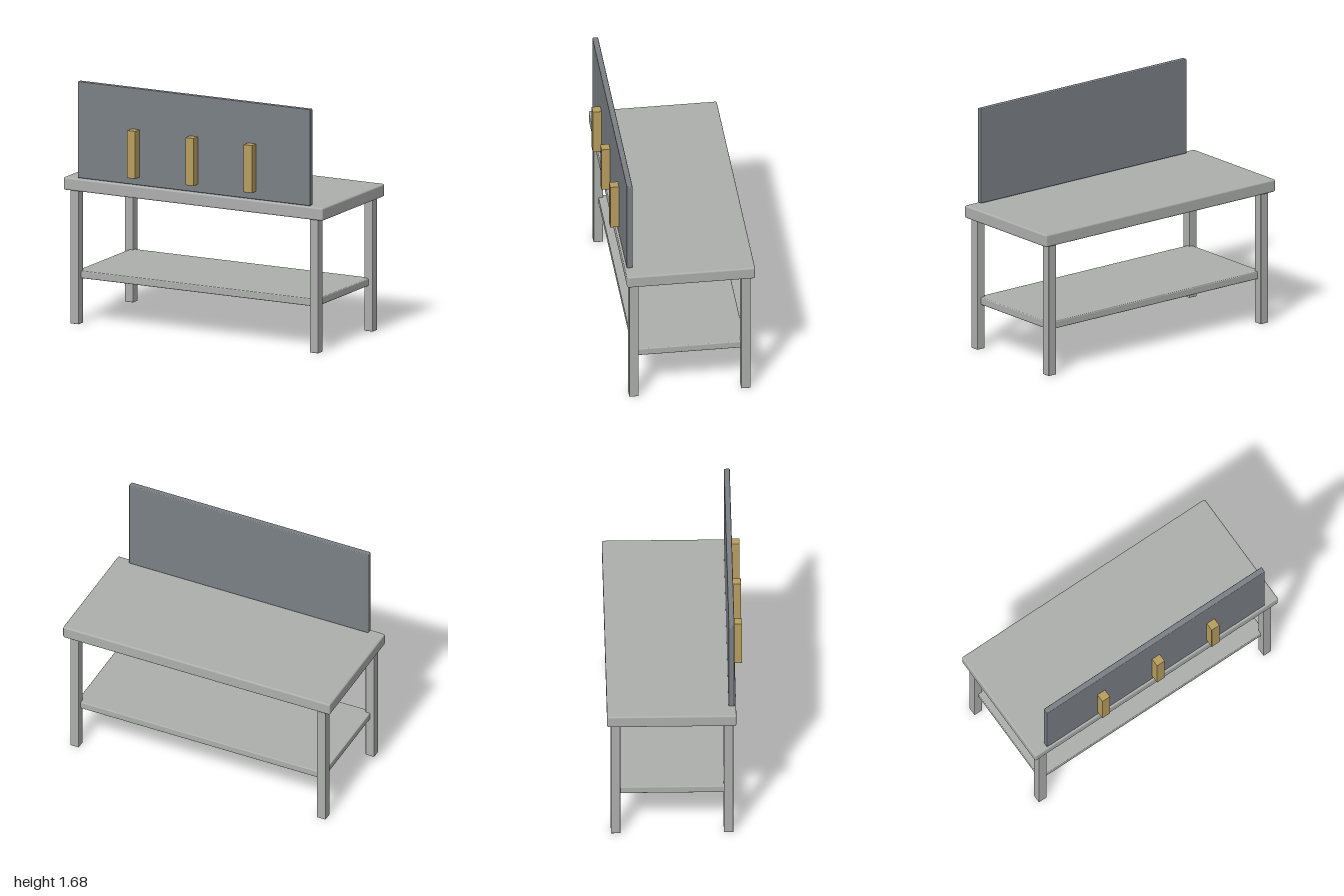
import * as THREE from 'three';
import { RoundedBoxGeometry } from 'three/addons/geometries/RoundedBoxGeometry.js';

export function createModel() {
  const group = new THREE.Group();
  group.name = 'workbench';

  const material = (name, color) => {
    const m = new THREE.MeshStandardMaterial({ color });
    m.name = name;
    return m;
  };
  const lightGrey = material('lightGrey', 0xadafad);
  const slateGrey = material('slateGrey', 0x7b8085);
  const tan = material('tan', 0xb99f60);

  // Softly bevelled box given by its extents along each axis
  const slab = (name, mat, [x0, x1], [y0, y1], [z0, z1], bevel) => {
    const mesh = new THREE.Mesh(
      new RoundedBoxGeometry(x1 - x0, y1 - y0, z1 - z0, 2, bevel), mat);
    mesh.position.set((x0 + x1) / 2, (y0 + y1) / 2, (z0 + z1) / 2);
    mesh.name = name;
    group.add(mesh);
  };

  // Worktop and lower shelf; the shelf corners sit inside the legs
  slab('worktop', lightGrey, [-1, 1], [0.925, 1.013], [-0.46, 0.414], 0.012);
  slab('shelf', lightGrey, [-0.924, 0.924], [0.313, 0.365], [-0.402, 0.36], 0.007);

  // Four legs
  const half = 0.032;
  for (const x of [-0.924, 0.924]) {
    for (const z of [-0.402, 0.362]) {
      slab('leg', lightGrey, [x - half, x + half], [0, 0.925], [z - half, z + half], 0.003);
    }
  }

  // Upright panel with three pegs on its front
  slab('panel', slateGrey, [-0.896, 0.896], [1.017, 1.685], [0.363, 0.403], 0.006);
  for (const x of [-0.45, 0, 0.45]) {
    slab('peg', tan, [x - half, x + half], [1.073, 1.403], [0.4, 0.462], 0.002);
  }

  return group;
}
